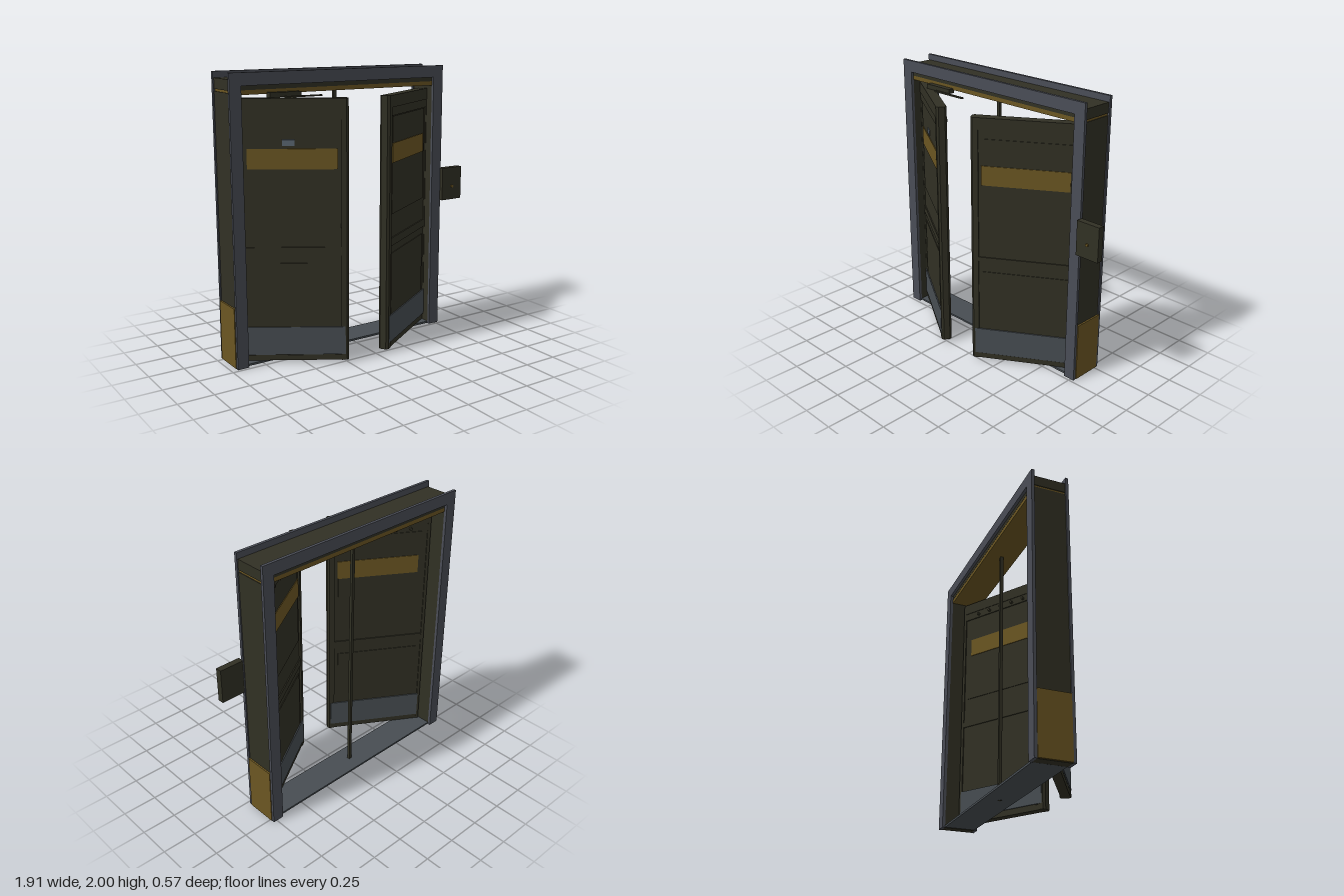
import * as THREE from 'three';

const mat = (name, color) => {
  const m = new THREE.MeshStandardMaterial({ color });
  m.name = name;
  return m;
};

export function createModel() {
  const dark = mat('dark olive metal', 0x313024);
  const ochre = mat('ochre paint', 0x6b5622);
  const grey = mat('frame grey', 0x4a4d56);
  const steel = mat('steel plate', 0x474d52);
  const sign = mat('pale blue grey', 0x5a6672);

  const root = new THREE.Group();
  root.name = 'doubleDoor';

  // box given by its min and max corners (order of each pair is free)
  const box = (parent, name, m, x0, x1, y0, y1, z0, z1) => {
    const g = new THREE.BoxGeometry(Math.abs(x1 - x0), Math.abs(y1 - y0), Math.abs(z1 - z0));
    const mesh = new THREE.Mesh(g, m);
    mesh.position.set((x0 + x1) / 2, (y0 + y1) / 2, (z0 + z1) / 2);
    mesh.name = name;
    parent.add(mesh);
    return mesh;
  };

  const CX = -0.0885;       // middle of the doorway
  const HALF = 0.866;       // half width of the frame
  const OPEN = 0.782;       // half width of the opening

  // front and back casings: a flat arch with an open bottom
  const arch = new THREE.Shape([
    [-HALF, 0], [-OPEN, 0], [-OPEN, 1.915], [OPEN, 1.915],
    [OPEN, 0], [HALF, 0], [HALF, 2], [-HALF, 2],
  ].map(([x, y]) => new THREE.Vector2(x, y)));
  for (const [name, z] of [['frontCasing', -0.04], ['backCasing', -0.286]]) {
    const g = new THREE.ExtrudeGeometry(arch, { depth: 0.021, bevelEnabled: false });
    const mesh = new THREE.Mesh(g, grey);
    mesh.position.set(CX, 0, z);
    mesh.name = name;
    root.add(mesh);
  }

  // header, threshold and centre post
  box(root, 'headLining', ochre, CX - 0.853, CX + 0.853, 1.855, 1.95, -0.264, -0.041);
  box(root, 'headCover', dark, CX - 0.858, CX + 0.858, 1.885, 1.957, -0.265, -0.04);
  box(root, 'threshold', steel, CX - OPEN, CX + OPEN, 0.002, 0.016, -0.265, -0.04);
  box(root, 'centrePost', dark, CX - 0.011, CX + 0.011, 0, 1.856, -0.163, -0.141);

  // jambs with low wall guards
  for (const s of [-1, 1]) {
    box(root, 'jamb', dark, CX + s * 0.788, CX + s * 0.858, 0, 1.87, -0.265, -0.04);
    box(root, 'jambGuard', ochre, CX + s * 0.859, CX + s * 0.871, 0.003, 0.43, -0.266, -0.041);
  }

  // door leaf: local x runs from the hinge to the free edge, s mirrors it
  const leaf = (s) => {
    const door = new THREE.Group();
    door.name = s > 0 ? 'rightDoor' : 'leftDoor';
    const part = (name, m, u0, u1, y0, y1, t) => box(door, name, m, s * u0, s * u1, y0, y1, -t, t);
    part('core', dark, 0.005, 0.74, 0.03, 1.82, 0.024);
    part('hingeStile', dark, 0, 0.022, 0.022, 1.828, 0.033);
    part('topRail', dark, 0.02, 0.71, 1.69, 1.827, 0.032);
    part('topCap', dark, 0.012, 0.70, 1.748, 1.83, 0.036);
    part('lockRail', dark, 0.02, 0.71, 0.772, 0.83, 0.032);
    part('bottomRail', dark, 0.02, 0.71, 0.022, 0.06, 0.032);
    part('upperPanel', dark, 0.055, 0.672, 1.0, 1.685, 0.029);
    part('lowerPanel', dark, 0.055, 0.672, 0.055, 0.718, 0.029);

    // free edge with chamfered corners
    const edge = new THREE.Shape([
      [0.7, -0.037], [0.738, -0.037], [0.752, -0.022],
      [0.752, 0.022], [0.738, 0.037], [0.7, 0.037],
    ].map(([u, z]) => new THREE.Vector2(s * u, z)));
    const eg = new THREE.ExtrudeGeometry(edge, { depth: 1.808, bevelEnabled: false });
    eg.rotateX(-Math.PI / 2);
    const edgeMesh = new THREE.Mesh(eg, dark);
    edgeMesh.position.y = 0.022;
    edgeMesh.name = 'freeEdge';
    door.add(edgeMesh);

    // thin painted bands and kick plates on both faces
    for (const f of [-1, 1]) {
      box(door, 'warningBand', ochre, s * 0.08, s * 0.68, 1.363, 1.5, f * 0.027, f * 0.034);
      box(door, 'kickPlate', steel, s * 0.018, s * 0.728, 0.065, 0.265, f * 0.031, f * 0.039);
    }

    // bolt row along the back of the top rail
    for (let i = 0; i < 6; i++) {
      const bolt = new THREE.Mesh(new THREE.CylinderGeometry(0.011, 0.011, 0.02, 8), dark);
      bolt.rotation.x = Math.PI / 2;
      bolt.position.set(s * (0.15 + i * 0.107), 1.715, -0.04);
      bolt.name = 'bolt';
      door.add(bolt);
    }
    return door;
  };

  const SWING = THREE.MathUtils.degToRad(32);
  const leftSide = leaf(1);
  leftSide.name = 'firstDoor';
  leftSide.position.set(CX - OPEN, 0, -0.142);
  leftSide.rotation.y = -SWING;
  box(leftSide, 'smallSign', sign, 0.315, 0.395, 1.52, 1.56, 0.028, 0.035);
  const rightSide = leaf(-1);
  rightSide.name = 'secondDoor';
  rightSide.position.set(CX + OPEN, 0, -0.142);
  rightSide.rotation.y = SWING;
  root.add(leftSide, rightSide);

  // door closer and its arm
  box(root, 'closerBody', dark, -0.675, -0.44, 1.832, 1.865, -0.05, 0.0);
  box(root, 'closerArm', dark, -0.57, -0.287, 1.828, 1.838, 0.003, 0.019);

  // control box beside the frame
  box(root, 'controlBox', dark, 0.774, 0.955, 0.985, 1.232, -0.036, 0.01);
  const button = new THREE.Mesh(new THREE.CylinderGeometry(0.011, 0.011, 0.012, 12), ochre);
  button.rotation.x = Math.PI / 2;
  button.position.set(0.865, 1.086, 0.013);
  button.name = 'controlButton';
  root.add(button);

  return root;
}
